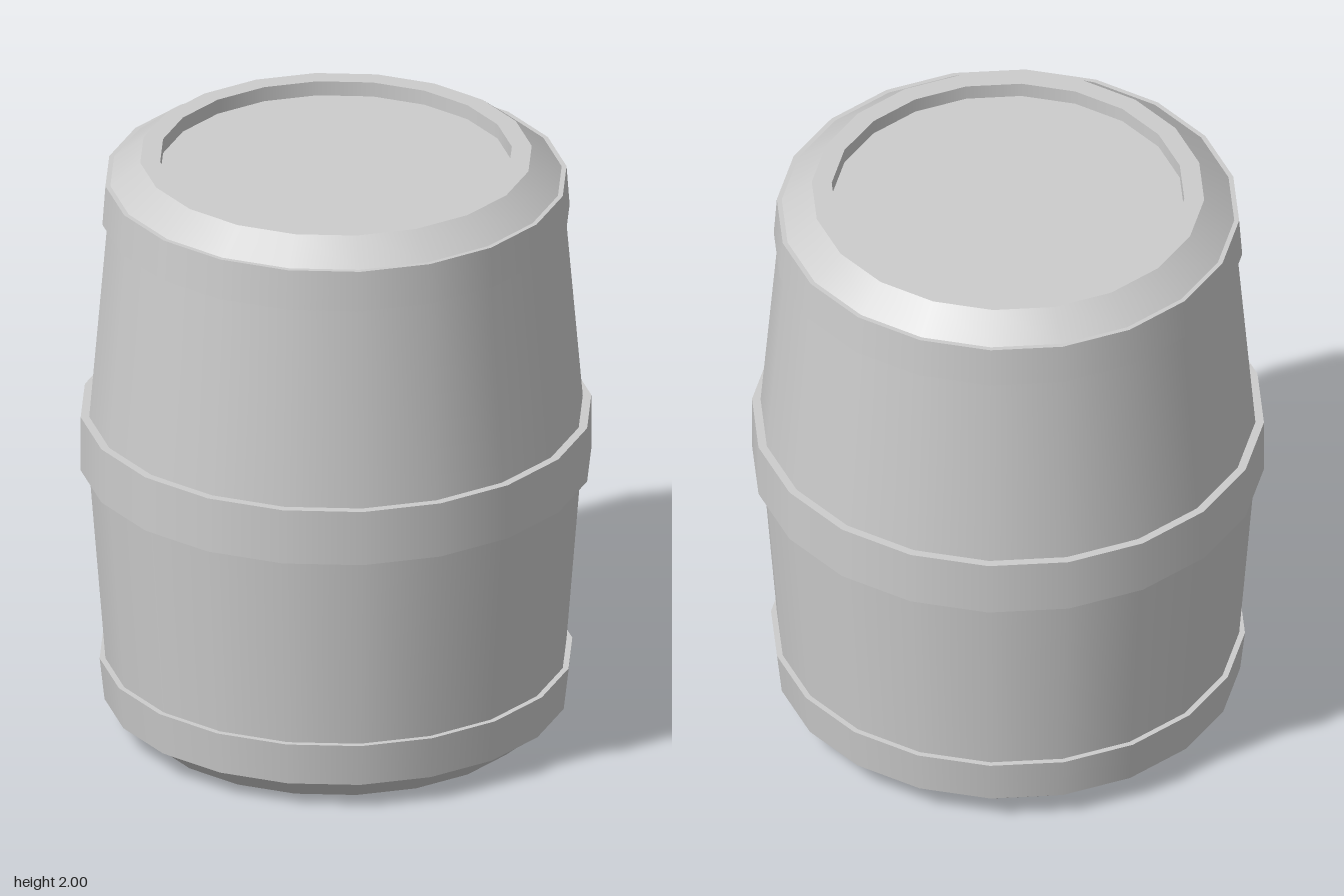
import * as THREE from 'three';
import { mergeGeometries } from 'three/addons/utils/BufferGeometryUtils.js';

const SIDES = 20;

// Revolves a profile of [radius, height]; smooth around, with a crisp edge at each profile point
function turned(name, profile, material) {
  const pts = profile.map(([r, y]) => new THREE.Vector2(r, y));
  const rings = [];
  for (let i = 0; i < pts.length - 1; i++) {
    rings.push(new THREE.LatheGeometry([pts[i], pts[i + 1]], SIDES));
  }
  const mesh = new THREE.Mesh(mergeGeometries(rings), material);
  mesh.name = name;
  return mesh;
}

export function createModel() {
  const grey = new THREE.MeshStandardMaterial({ color: 0xcccccc });
  grey.name = 'plain grey';

  // Points shared by neighbouring parts, where the staves meet the hoops
  const bottomRim = [0.742, 0.087];
  const lowerStart = [0.754, 0.235];
  const lowerEnd = [0.807, 0.91];
  const upperStart = [0.807, 1.10];
  const upperEnd = [0.748, 1.785];
  const topRim = [0.738, 1.922];

  const parts = {
    // Recessed ends with bevelled rims
    bottomEnd: [[0, 0.057], [0.592, 0.057], [0.622, 0], [0.64, 0], bottomRim],
    topEnd: [topRim, [0.64, 2], [0.575, 2], [0.575, 1.95], [0, 1.95]],
    // Tapered staves between the hoops
    lowerStaves: [lowerStart, lowerEnd],
    upperStaves: [upperStart, upperEnd],
    // Hoops, each a wall with a ledge above and below
    bottomHoop: [bottomRim, [0.757, 0.089], [0.773, 0.235], lowerStart],
    middleHoop: [lowerEnd, [0.835, 0.91], [0.835, 1.10], upperStart],
    topHoop: [upperEnd, [0.764, 1.785], [0.754, 1.922], topRim],
  };

  const barrel = new THREE.Group();
  barrel.name = 'barrel';
  for (const [name, profile] of Object.entries(parts)) {
    barrel.add(turned(name, profile, grey));
  }
  return barrel;
}
